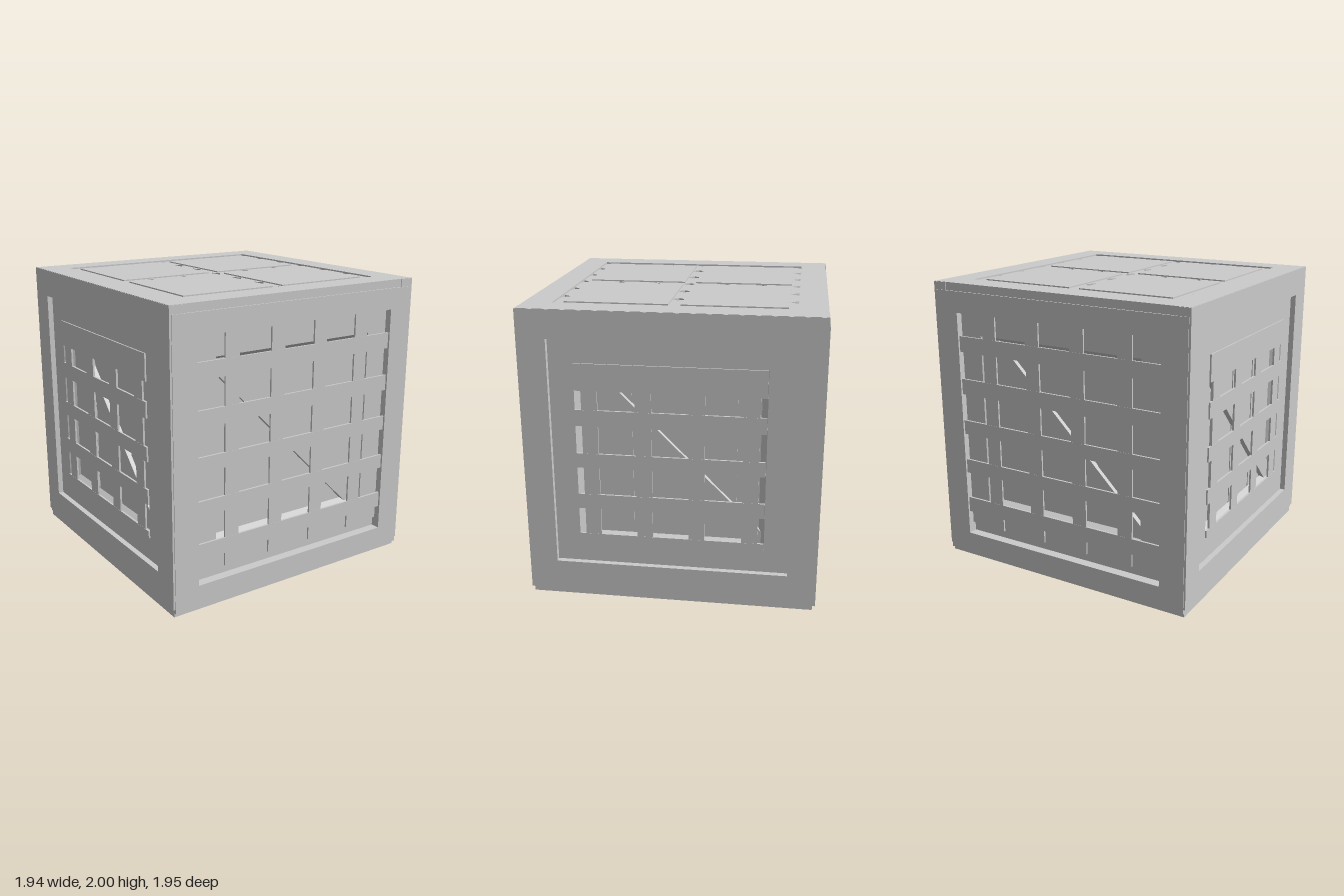
import * as THREE from 'three';

const material = new THREE.MeshStandardMaterial({ color: 0xcccccc, flatShading: true });
const openMaterial = material.clone();
openMaterial.side = THREE.DoubleSide;

function named(name, geometry, mat = material) {
  const m = new THREE.Mesh(geometry, mat);
  m.name = name;
  return m;
}

// Rectangle path from [x0, x1, y0, y1]
function rect([x0, x1, y0, y1], P = THREE.Path) {
  const p = new P();
  p.moveTo(x0, y0).lineTo(x1, y0).lineTo(x1, y1).lineTo(x0, y1).closePath();
  return p;
}

// Flat slab with one rectangular opening; back at z0, front at z1
function frameSlab(name, outer, opening, z0, z1) {
  const shape = rect(outer, THREE.Shape);
  shape.holes.push(rect(opening));
  const g = new THREE.ExtrudeGeometry(shape, { depth: z1 - z0, bevelEnabled: false });
  g.translate(0, 0, z0);
  return named(name, g);
}

function box(name, [x0, x1, y0, y1], z0, z1) {
  const g = new THREE.BoxGeometry(x1 - x0, y1 - y0, z1 - z0);
  g.translate((x0 + x1) / 2, (y0 + y1) / 2, (z0 + z1) / 2);
  return named(name, g);
}

// Thin crossing bars within [x0, x1, y0, y1]
const columns = [[-0.575, -0.47], [-0.225, -0.12], [0.12, 0.225], [0.47, 0.575]];
function lattice([x0, x1, y0, y1], rows, z) {
  const g = new THREE.Group();
  g.name = 'lattice';
  columns.forEach(([a, b]) => g.add(box('latticeUpright', [a, b, y0, y1], z - 0.014, z - 0.001)));
  rows.forEach(([a, b]) => g.add(box('latticeRail', [x0, x1, a, b], z - 0.014, z)));
  return g;
}

// Planked crate side: raised border, bevelled opening, planks and a diagonal brace
function crateSide() {
  const g = new THREE.Group();
  g.name = 'crateSide';
  const front = 0.93, floor = 0.86, mid = 1.03;
  g.add(frameSlab('crateBorder', [-0.85, 0.85, 0.25, 1.88], [-0.62, 0.62, 0.41, 1.65], front - 0.02, front));
  const bevel = new THREE.CylinderGeometry(0.62 * Math.SQRT2, 0.58 * Math.SQRT2, front - floor, 4, 1, true);
  bevel.rotateY(Math.PI / 4).rotateX(Math.PI / 2).translate(0, mid, (front + floor) / 2);
  g.add(named('openingBevel', bevel, openMaterial));
  for (let i = -3; i <= 3; i++) {
    const inset = i % 2 ? 0.006 : 0;
    g.add(box('plank', [i * 0.172 - 0.086, i * 0.172 + 0.086, 0.42, 1.64], 0.8, floor - inset));
  }
  const brace = new THREE.Shape([[-0.6, 1.63], [-0.6, 1.54], [0.51, 0.43], [0.6, 0.43], [0.6, 0.52], [-0.51, 1.63]]
    .map(([x, y]) => new THREE.Vector2(x, y)));
  const b = new THREE.ExtrudeGeometry(brace, { depth: 0.04, bevelEnabled: false });
  b.translate(0, 0, floor - 0.01);
  g.add(named('diagonalBrace', b));
  return g;
}

// Front and back: full-size lattice nearly flush with the frame
function latticeWall() {
  const g = new THREE.Group();
  g.add(frameSlab('frame', [-0.955, 0.955, 0.03, 1.945], [-0.78, 0.78, 0.18, 1.8], 0.87, 0.975));
  const rows = [[0.35, 0.46], [0.65, 0.75], [0.94, 1.04], [1.23, 1.34], [1.53, 1.64]];
  g.add(lattice([-0.775, 0.775, 0.26, 1.81], rows, 0.967));
  g.add(box('sill', [-0.79, 0.79, 0.15, 0.25], 0.8, 0.91));
  g.add(crateSide());
  return g;
}

// Left and right: smaller lattice standing inside a recess
function recessedWall() {
  const g = new THREE.Group();
  g.add(frameSlab('frame', [-0.97, 0.97, 0.06, 1.998], [-0.78, 0.78, 0.25, 1.81], 0.87, 0.968));
  const rows = [[0.41, 0.46], [0.645, 0.75], [0.94, 1.04], [1.23, 1.34], [1.47, 1.65]];
  g.add(lattice([-0.618, 0.618, 0.41, 1.65], rows, 0.94));
  g.add(crateSide());
  return g;
}

// Grid of overlapping discs filling a square opening
function discGrid(y0, y1) {
  const g = new THREE.Group();
  g.name = 'discGrid';
  const geo = new THREE.CylinderGeometry(0.16, 0.16, y1 - y0, 10);
  for (let i = 0; i < 6; i++) {
    for (let j = 0; j < 6; j++) {
      const d = named('disc', geo);
      d.position.set((i - 2.5) * 0.262, (y0 + y1) / 2, (j - 2.5) * 0.258);
      g.add(d);
    }
  }
  return g;
}

// Horizontal square frame between two heights
function flatFrame(name, half, y0, y1) {
  const f = frameSlab(name, [-half, half, -half, half], [-0.78, 0.78, -0.78, 0.78], y0, y1);
  f.rotation.x = -Math.PI / 2;
  return f;
}

export function createModel() {
  const model = new THREE.Group();
  model.name = 'latticeCrate';

  // Four walls
  [['frontWall', 0], ['leftWall', 1], ['backWall', 2], ['rightWall', 3]].forEach(([name, i]) => {
    const wall = i % 2 ? recessedWall() : latticeWall();
    wall.name = name;
    wall.rotation.y = (i * Math.PI) / 2;
    model.add(wall);
  });

  // Solid core behind the planks
  model.add(box('core', [-0.82, 0.82, 0.04, 1.95], -0.82, 0.82));

  // Lid: frame, discs and four plates
  model.add(flatFrame('lidFrame', 0.965, 1.9, 2));
  model.add(discGrid(1.94, 1.99));
  for (const x of [-0.38, 0.38]) {
    for (const z of [-0.38, 0.38]) {
      const plate = named('lidPlate', new THREE.BoxGeometry(0.68, 0.06, 0.68));
      plate.position.set(x, 1.968, z);
      model.add(plate);
    }
  }

  // Base: frame and discs
  model.add(flatFrame('baseFrame', 0.955, 0, 0.1));
  model.add(discGrid(0.006, 0.05));
  return model;
}
